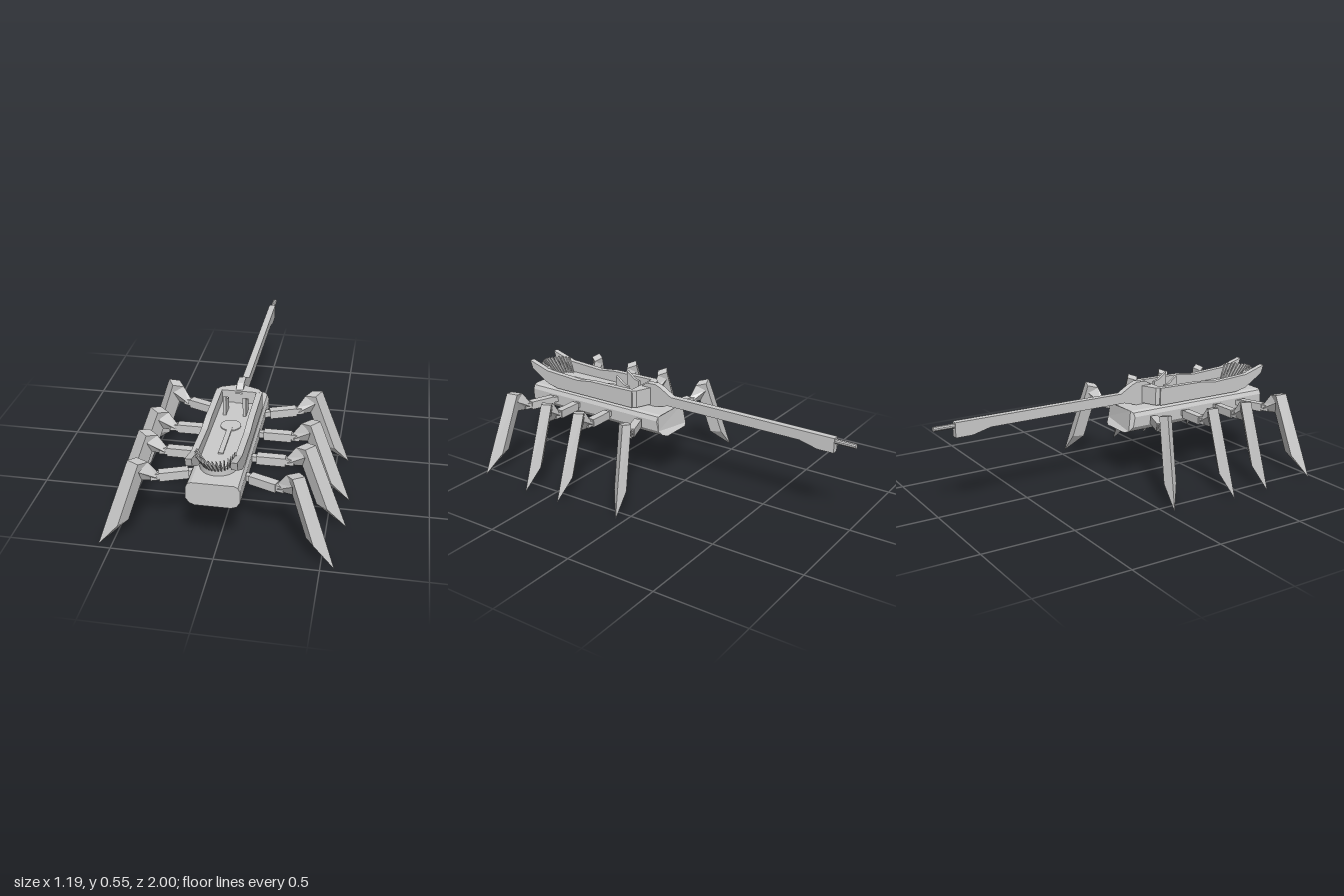
import * as THREE from 'three';

const material = new THREE.MeshStandardMaterial({ color: 0xcccccc, flatShading: true, side: THREE.DoubleSide });

function add(parent, name, geometry) {
  const mesh = new THREE.Mesh(geometry, material);
  mesh.name = name;
  parent.add(mesh);
  return mesh;
}

function box(x0, x1, y0, y1, z0, z1) {
  return new THREE.BoxGeometry(x1 - x0, y1 - y0, z1 - z0)
    .translate((x0 + x1) / 2, (y0 + y1) / 2, (z0 + z1) / 2);
}

const shapeOf = (points) => new THREE.Shape(points.map(([a, b]) => new THREE.Vector2(a, b)));

// Extrudes a [z, y] side profile across x, centred on x = cx.
function sideExtrude(points, width, cx = 0) {
  return new THREE.ExtrudeGeometry(shapeOf(points), { depth: width, bevelEnabled: false })
    .rotateY(-Math.PI / 2).translate(cx + width / 2, 0, 0);
}

// Extrudes an (x, z) plan shape from y0 up to y1.
function planExtrude(shape, y0, y1) {
  return new THREE.ExtrudeGeometry(shape, { depth: y1 - y0, bevelEnabled: false, curveSegments: 16 })
    .rotateX(Math.PI / 2).translate(0, y1, 0);
}

// Skins a run of four-cornered cross-sections and caps both ends.
function loft(sections) {
  const pos = [];
  const quad = (a, b, c, d) => pos.push(...a, ...b, ...c, ...a, ...c, ...d);
  for (let s = 0; s < sections.length - 1; s++) {
    const a = sections[s], b = sections[s + 1];
    for (let i = 0; i < 4; i++) quad(a[i], a[(i + 1) % 4], b[(i + 1) % 4], b[i]);
  }
  quad(...[...sections[0]].reverse());
  quad(...sections[sections.length - 1]);
  const geometry = new THREE.BufferGeometry();
  geometry.setAttribute('position', new THREE.Float32BufferAttribute(pos, 3));
  geometry.computeVertexNormals();
  return geometry;
}

// One leg reaching out along +x from the hull side at z = 0.
function createLeg() {
  const leg = new THREE.Group();
  add(leg, 'hipPin', box(0.09, 0.17, 0.338, 0.368, -0.014, 0.014));
  add(leg, 'arm', box(0.15, 0.29, 0.33, 0.375, -0.021, 0.021));
  add(leg, 'armJoint', box(0.28, 0.33, 0.337, 0.369, -0.016, 0.016));
  add(leg, 'knee', loft([
    [[0.295, 0.372, 0], [0.30, 0.35, 0.018], [0.31, 0.33, 0], [0.30, 0.35, -0.018]],
    [[0.337, 0.432, 0], [0.385, 0.40, 0.031], [0.37, 0.335, 0], [0.385, 0.40, -0.031]],
  ]));
  const t = 0.001;
  add(leg, 'shin', loft([
    [[0.43, 0.454, 0], [0.385, 0.443, 0.033], [0.335, 0.432, 0], [0.385, 0.443, -0.033]],
    [[0.553, 0.12, 0], [0.50, 0.115, 0.033], [0.445, 0.12, 0], [0.50, 0.115, -0.033]],
    [[0.595 + t, 0, 0], [0.595, 0, t], [0.595 - t, 0, 0], [0.595, 0, -t]],
  ]));
  return leg;
}

function createHull() {
  const w = 0.127, y0 = 0.287, y1 = 0.408;
  const half = [[0.085, y0], [0.11, y0 + 0.01], [w, y0 + 0.035], [w, y1 - 0.03], [0.117, y1 - 0.008], [0.1, y1]];
  const outline = [...half, ...half.map(([x, y]) => [-x, y]).reverse()];
  const geometry = new THREE.ExtrudeGeometry(shapeOf(outline), { depth: 0.98, bevelEnabled: false });
  // Rear end: raked forward toward the top and swept at the sides.
  const p = geometry.attributes.position;
  for (let i = 0; i < p.count; i++) {
    if (p.getZ(i) < 0.01) {
      p.setZ(i, 0.05 + 0.2 * (p.getY(i) - y0) + 0.03 * (p.getX(i) / w) ** 4);
    }
  }
  geometry.computeVertexNormals();
  return geometry;
}

export function createModel() {
  const model = new THREE.Group();
  model.name = 'walker';
  add(model, 'hull', createHull());

  // Legs: outer pairs splay forward and backward, middle pairs stand square.
  for (const [z, splay] of [[0.805, -0.36], [0.645, 0], [0.42, 0], [0.22, 0.36]]) {
    for (const side of [1, -1]) {
      const pivot = new THREE.Group();
      const leg = createLeg();
      leg.position.x = -0.115;
      pivot.add(leg);
      pivot.position.set(0.115 * side, 0, z);
      pivot.rotation.y = side > 0 ? splay : Math.PI - splay;
      pivot.name = side > 0 ? 'leftLeg' : 'rightLeg';
      model.add(pivot);
    }
  }

  // Deck with a rounded front.
  const deck = new THREE.Shape();
  deck.moveTo(-0.09, 0.27);
  deck.lineTo(0.09, 0.27);
  deck.lineTo(0.09, 0.82);
  deck.absarc(0, 0.82, 0.09, 0, Math.PI, false);
  add(model, 'deck', planExtrude(deck, 0.4, 0.445));

  // Round plate with a long bar on the deck.
  add(model, 'deckPlate', new THREE.CylinderGeometry(0.05, 0.05, 0.006, 24).translate(0, 0.447, 0.52));
  add(model, 'deckBar', box(-0.012, 0.012, 0.44, 0.452, 0.54, 0.78));

  // Side walls rising to pointed prows.
  const wall = [[1, 0.547], [0.87, 0.507], [0.65, 0.495], [0.55, 0.508], [0.27, 0.512],
    [0.27, 0.415], [0.8, 0.415], [0.87, 0.43], [0.985, 0.5]];
  for (const side of [1, -1]) {
    add(model, 'sideWall', sideExtrude(wall, 0.031, side * 0.103));
    // Upright fins on the deck.
    add(model, 'deckFin', sideExtrude(
      [[0.42, 0.44], [0.42, 0.55], [0.37, 0.512], [0.34, 0.505], [0.34, 0.44]], 0.016, side * 0.05));
  }

  // Tapered block closing the rear of the walls.
  add(model, 'rearBlock', planExtrude(
    shapeOf([[0.118, 0.285], [-0.118, 0.285], [-0.1, 0.25], [-0.018, 0.215], [0.018, 0.215], [0.1, 0.25]]),
    0.415, 0.512));

  // Fan of slats leaning outward around the front of the deck.
  const slats = 15;
  for (let i = 0; i < slats; i++) {
    const a = (i / (slats - 1) - 0.5) * Math.PI * 0.9;
    const s = Math.sin(a), c = Math.cos(a);
    const foot = new THREE.Vector3(0.07 * s, 0.435, 0.83 + 0.07 * c);
    const tip = new THREE.Vector3(0.092 * s, 0.525, 0.87 + 0.115 * c);
    const slat = add(model, 'frontSlat', new THREE.BoxGeometry(0.006, 0.018, foot.distanceTo(tip)));
    slat.position.copy(foot).lerp(tip, 0.5);
    slat.lookAt(tip);
  }

  // Long rear boom with a humped root and a stepped end.
  add(model, 'boom', sideExtrude([[0.29, 0.5], [0.24, 0.535], [0.18, 0.537], [0.15, 0.525], [0.08, 0.484],
    [-0.89, 0.484], [-0.89, 0.405], [-0.8, 0.405], [-0.7, 0.43], [0.1, 0.43], [0.18, 0.408], [0.29, 0.41]], 0.036));
  add(model, 'boomTip', new THREE.CylinderGeometry(0.013, 0.013, 0.13, 10)
    .rotateX(Math.PI / 2).translate(0, 0.464, -0.935));

  return model;
}
